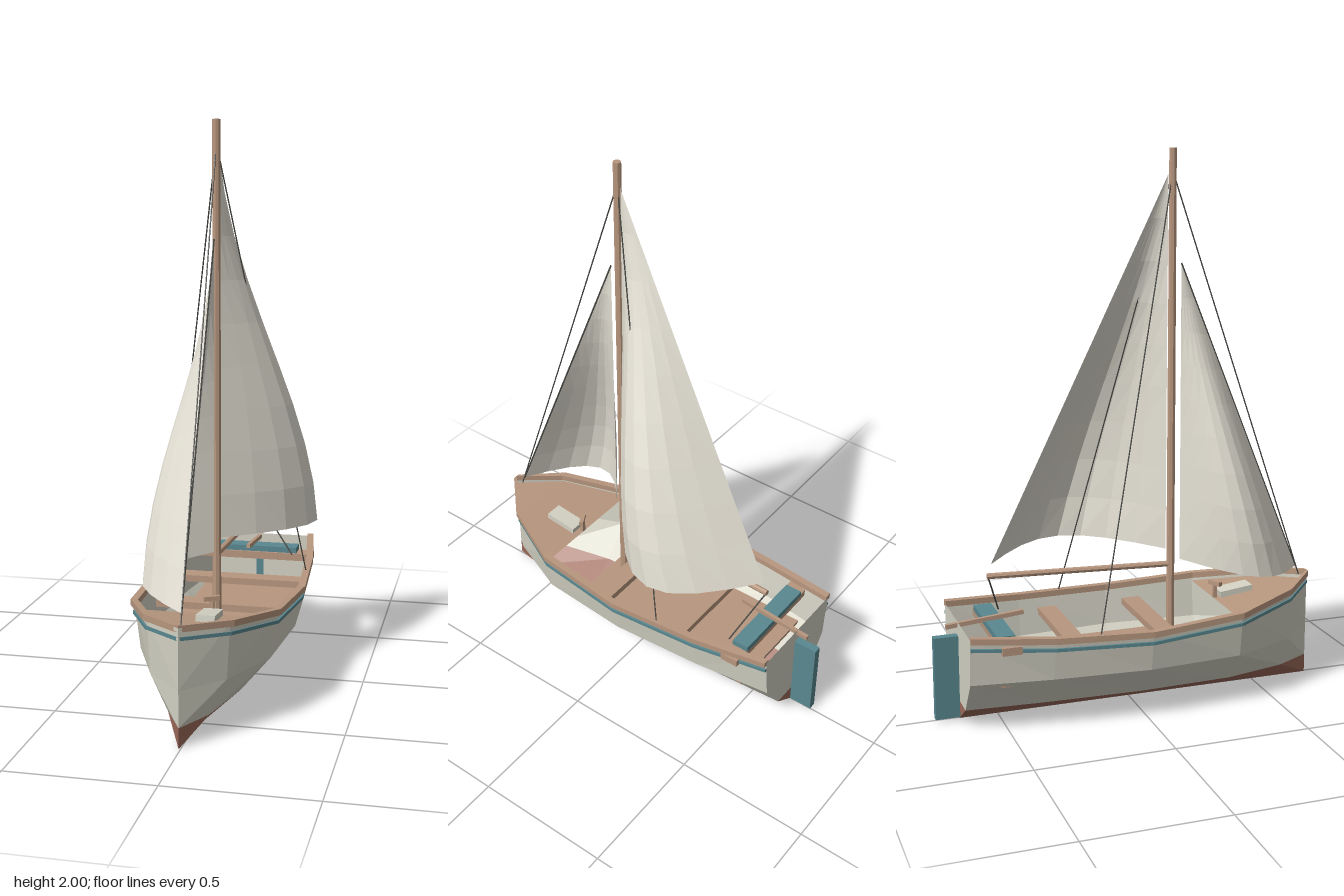
import * as THREE from 'three';

const mat = (color) => new THREE.MeshStandardMaterial({ color, flatShading: true, side: THREE.DoubleSide });
const wood = mat(0xb8977f), cream = mat(0xd4d2c4), red = mat(0x9c6a5a), teal = mat(0x5a8890);
const cloth = mat(0xe6e2d6), rope = mat(0x4a4a46);

// hull stations from stern to bow: z, half width, sheer height
const stations = [
  [-0.64, 0.208, 0.365], [-0.35, 0.25, 0.346], [0, 0.277, 0.338],
  [0.35, 0.25, 0.358], [0.59, 0.14, 0.388], [0.725, 0, 0.403],
];
// half section from keel up: share of the half width and height (null = sheer)
const section = [[0, 0], [0.5, 0.07], [0.92, 0.195], [1, null]];
const V = (x, y, z) => new THREE.Vector3(x, y, z);

export function createModel() {
  const boat = new THREE.Group();
  boat.name = 'sailboat';
  boat.position.x = -0.006;

  const add = (name, geometry, material, parent = boat) => {
    const mesh = new THREE.Mesh(geometry, material);
    mesh.name = name;
    parent.add(mesh);
    return mesh;
  };
  const box = (name, w, h, d, x, y, z, material = wood) => {
    const mesh = add(name, new THREE.BoxGeometry(w, h, d), material);
    mesh.position.set(x, y, z);
    return mesh;
  };
  // straight round bar between two points
  const bar = (name, a, b, r0, r1, sides, material) => {
    const mesh = add(name, new THREE.CylinderGeometry(r1, r0, a.distanceTo(b), sides), material);
    mesh.position.copy(a).add(b).multiplyScalar(0.5);
    mesh.quaternion.setFromUnitVectors(V(0, 1, 0), b.clone().sub(a).normalize());
    return mesh;
  };
  // skin over rows of points
  const loft = (rows) => {
    const positions = [], index = [], n = rows[0].length;
    rows.forEach((row) => row.forEach((p) => positions.push(p.x, p.y, p.z)));
    for (let i = 0; i < rows.length - 1; i++) {
      for (let j = 0; j < n - 1; j++) {
        const a = i * n + j, b = a + n;
        index.push(a, a + 1, b, b, a + 1, b + 1);
      }
    }
    const geometry = new THREE.BufferGeometry();
    geometry.setAttribute('position', new THREE.Float32BufferAttribute(positions, 3));
    geometry.setIndex(index);
    geometry.computeVertexNormals();
    return geometry;
  };

  const hullPoint = (side, [z, w, top], k) => V(side * w * section[k][0], section[k][1] ?? top, z);

  for (const side of [-1, 1]) {
    const label = side > 0 ? 'left' : 'right';
    // hull planking: red bottom, cream topsides
    add(label + 'HullBottom', loft(stations.map((s) => [0, 1].map((k) => hullPoint(side, s, k)))), red);
    add(label + 'HullSide', loft(stations.map((s) => [1, 2, 3].map((k) => hullPoint(side, s, k)))), cream);

    // strips that follow the sheer, rectangular in section
    const strip = (name, inner, outer, low, high, material) => {
      const rows = stations.map(([z, w, top]) => {
        const xi = side * Math.max(0, w + inner), xo = side * (w + outer);
        return [[xi, low], [xo, low], [xo, high], [xi, high], [xi, low]].map(([x, y]) => V(x, top + y, z));
      });
      rows.unshift(rows[0].map(() => rows[0][0])); // closed stern end
      add(name, loft(rows), material);
    };
    strip(label + 'GunwaleRail', -0.012, 0.014, -0.012, 0.01, wood);
    strip(label + 'TrimStripe', -0.002, 0.006, -0.042, -0.03, teal);

    // shroud
    bar(label + 'Shroud', V(0, 1.92, 0.165), V(side * 0.262, 0.35, -0.19), 0.0025, 0.0025, 5, rope);
  }

  // transom
  const sternRows = (ks) => ks.map((k) => [-1, 1].map((side) => hullPoint(side, stations[0], k)));
  add('transomBottom', loft(sternRows([0, 1])), red);
  add('transom', loft(sternRows([1, 2, 3])), cream);

  // foredeck, floor and benches
  const deck = stations.slice(3).map(([z, w, top]) => [-1, 1].map((side) => V(side * w * 0.985, top - 0.025, z)));
  add('foredeck', loft(deck), wood);
  box('floor', 0.39, 0.012, 0.77, 0, 0.18, -0.145);
  box('middleThwart', 0.47, 0.025, 0.07, 0, 0.285, -0.245);
  box('forwardThwart', 0.47, 0.025, 0.07, 0, 0.285, 0.09);
  box('sternBench', 0.48, 0.028, 0.07, 0, 0.32, -0.5);
  box('sternCushion', 0.36, 0.022, 0.065, -0.002, 0.345, -0.507, teal);

  // deck fittings
  const hatch = box('foredeckHatch', 0.066, 0.022, 0.13, 0.035, 0.357, 0.435, cream);
  hatch.rotation.x = -0.12;
  box('cleatPost', 0.014, 0.05, 0.014, 0.025, 0.36, 0.355);
  box('cleatBar', 0.055, 0.016, 0.016, 0.025, 0.391, 0.355).rotation.y = 0.5;

  // rudder and tiller
  box('rudder', 0.03, 0.305, 0.09, 0, 0.162, -0.683, teal);
  box('tiller', 0.014, 0.016, 0.285, 0, 0.361, -0.54).rotation.x = -0.09;

  // mast and boom
  bar('mast', V(0, 0.18, 0.165), V(0, 2, 0.165), 0.016, 0.014, 8, wood);
  bar('boom', V(0, 0.495, 0.165), V(0.035, 0.507, -0.52), 0.011, 0.011, 8, wood);

  // sail between luff and leech lines, bellied sideways and fullest at the foot
  const sail = (name, tack, clew, head, belly) => {
    const rows = [], nv = 9, nu = 8;
    for (let i = 0; i <= nv; i++) {
      const t = i / nv, row = [];
      const a = tack.clone().lerp(head, t), b = clew.clone().lerp(head, t);
      for (let j = 0; j <= nu; j++) {
        const p = a.clone().lerp(b, j / nu);
        p.x += belly * Math.sin(Math.PI * j / nu) * Math.cos(Math.PI * t / 2) ** 2;
        row.push(p);
      }
      rows.push(row);
    }
    add(name, loft(rows), cloth);
  };
  sail('mainSail', V(0.012, 0.55, 0.15), V(0.035, 0.55, -0.505), V(0.004, 1.91, 0.15), 0.282);
  sail('jib', V(0, 0.435, 0.675), V(-0.003, 0.51, 0.2), V(0, 1.6, 0.2), -0.192);

  // running and standing lines
  bar('forestay', V(0, 1.92, 0.165), V(0, 0.4, 0.69), 0.0025, 0.0025, 5, rope);
  bar('jibLuffRope', V(0, 0.43, 0.678), V(0, 1.6, 0.2), 0.003, 0.003, 5, rope);
  bar('mainSheet', V(0.035, 0.5, -0.515), V(0.165, 0.335, -0.45), 0.003, 0.003, 5, rope);
  return boat;
}
